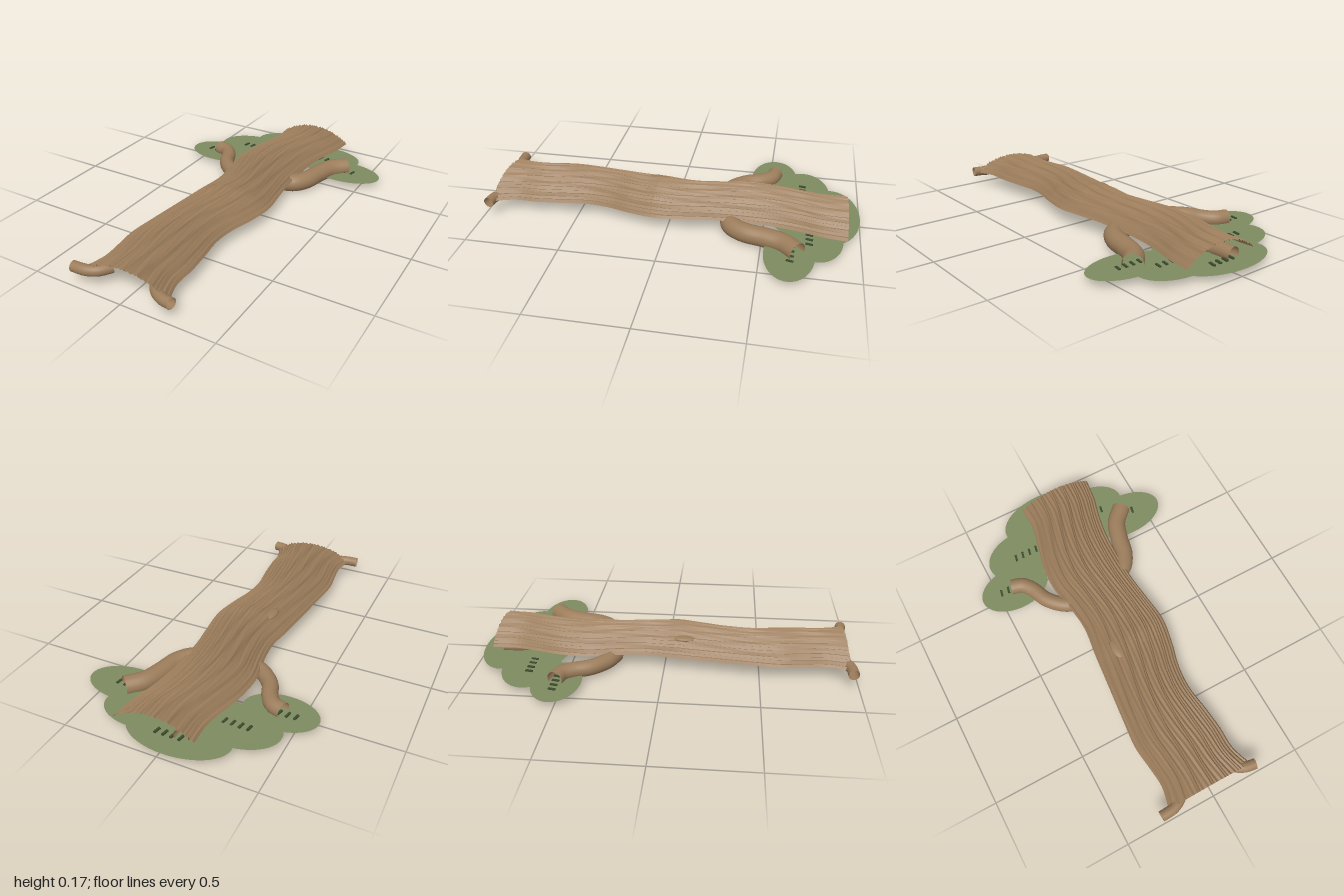
import * as THREE from 'three';

const { Vector2, Vector3 } = THREE;

export function createModel() {
  const tree = new THREE.Group();
  tree.name = 'fallenTree';

  const bark = new THREE.MeshStandardMaterial({ name: 'bark brown', color: 0x9c7d5b, side: THREE.DoubleSide });
  const leaf = new THREE.MeshStandardMaterial({ name: 'leaf green', color: 0x7d8b60, side: THREE.DoubleSide });
  const dark = new THREE.MeshStandardMaterial({ name: 'dark leaf green', color: 0x3d4a2e, side: THREE.DoubleSide });

  const add = (name, geometry, material, x = 0, y = 0, z = 0) => {
    const mesh = new THREE.Mesh(geometry, material);
    mesh.name = name;
    mesh.position.set(x, y, z);
    tree.add(mesh);
    return mesh;
  };

  // Trunk: an arched, ridged sheet between two wavy edges (z, left x, right x)
  const outline = [
    [-0.925, -0.155, 0.27], [-0.8, -0.15, 0.255], [-0.68, -0.175, 0.225], [-0.55, -0.205, 0.205],
    [-0.4, -0.215, 0.2], [-0.25, -0.187, 0.203], [-0.1, -0.172, 0.22], [0.05, -0.19, 0.235],
    [0.2, -0.205, 0.21], [0.32, -0.217, 0.178], [0.45, -0.23, 0.166], [0.6, -0.243, 0.185],
    [0.72, -0.23, 0.197], [0.84, -0.22, 0.2], [0.955, -0.245, 0.24],
  ];
  const edgeA = new THREE.SplineCurve(outline.map(([z, a]) => new Vector2(z, a)));
  const edgeB = new THREE.SplineCurve(outline.map(([z, , b]) => new Vector2(z, b)));
  const ridges = 24, across = ridges * 2, along = 70;
  const sheet = new THREE.PlaneGeometry(1, 1, across, along);
  const pos = sheet.attributes.position;
  for (let j = 0; j <= along; j++) {
    const a = edgeA.getPoint(j / along), b = edgeB.getPoint(j / along);
    const z = a.x;
    for (let i = 0; i <= across; i++) {
      const s = i / across;
      const wander = 0.006 * Math.sin(Math.PI * s) * Math.sin(z * 9 + i * 0.8);
      const u = 2 * s - 1;
      const groove = (i % 2 ? 0.004 : -0.004) * (1 + 0.4 * Math.sin(i * 1.7 + z * 5));
      const bump = 0.007 * Math.exp(-(((z - 0.07) / 0.05) ** 2)) * (1 - u * u);
      const y = 0.09 + 0.072 * (1 - Math.abs(u) ** 2.1) + groove + bump;
      pos.setXYZ(j * (across + 1) + i, a.y + (b.y - a.y) * s + wander, y, z);
    }
  }
  const trunk = sheet.toNonIndexed();
  trunk.computeVertexNormals();
  add('trunk', trunk, bark);

  // Knots set into the trunk
  for (const x of [-0.08, 0.06]) {
    add('knot', new THREE.SphereGeometry(1, 16, 8), bark, x, 0.145, 0.1).scale.set(0.03, 0.014, 0.06);
  }

  // Branches and roots: open bent tubes lying flat at one height
  const limb = (name, y, radius, points) => {
    const path = new THREE.CatmullRomCurve3(points.map(([x, z]) => new Vector3(x, y, z)));
    add(name, new THREE.TubeGeometry(path, 28, radius, 20), bark);
  };
  limb('rightBranch', 0.058, 0.042, [[-0.12, -0.26], [-0.2, -0.295], [-0.275, -0.37], [-0.315, -0.46], [-0.355, -0.51], [-0.415, -0.53]]);
  limb('leftBranch', 0.057, 0.051, [[0.12, -0.32], [0.19, -0.34], [0.24, -0.41], [0.265, -0.51], [0.3, -0.61], [0.37, -0.685]]);
  limb('topBranch', 0.058, 0.038, [[0.01, -0.62], [-0.035, -0.69], [-0.06, -0.78], [-0.065, -0.89]]);
  limb('rightRoot', 0.09, 0.028, [[-0.13, 0.88], [-0.17, 0.935], [-0.22, 0.96], [-0.293, 0.966]]);
  limb('leftRoot', 0.09, 0.028, [[0.115, 0.88], [0.15, 0.925], [0.2, 0.955], [0.258, 0.966]]);

  // Foliage: flat overlapping ellipses (x, z, half width, half depth)
  const clumps = [
    [-0.03, -0.85, 0.27, 0.15], [-0.25, -0.69, 0.225, 0.15], [-0.4, -0.525, 0.195, 0.127],
    [0.21, -0.78, 0.2, 0.13], [0.37, -0.645, 0.22, 0.127], [-0.04, -0.65, 0.235, 0.135],
  ];
  clumps.forEach(([x, z, w, d], i) => {
    const disc = new THREE.CircleGeometry(1, 48).rotateX(-Math.PI / 2).scale(w, 1, d);
    add('foliage', disc, leaf, x, 0.038 + i * 0.0006, z);
  });

  // Leaf marks: rows of short slanted dashes (first x, z, count)
  const rows = [[-0.48, -0.53, 4], [-0.313, -0.69, 4], [-0.06, -0.88, 4], [0.14, -0.74, 4], [0.3, -0.65, 4]];
  for (const [x, z, count] of rows) {
    for (let i = 0; i < count; i++) {
      const dash = new THREE.BoxGeometry(0.012, 0.008, 0.038);
      add('leafMark', dash, dark, x + i * 0.042, 0.042, z).rotation.y = -0.2;
    }
  }
  return tree;
}
